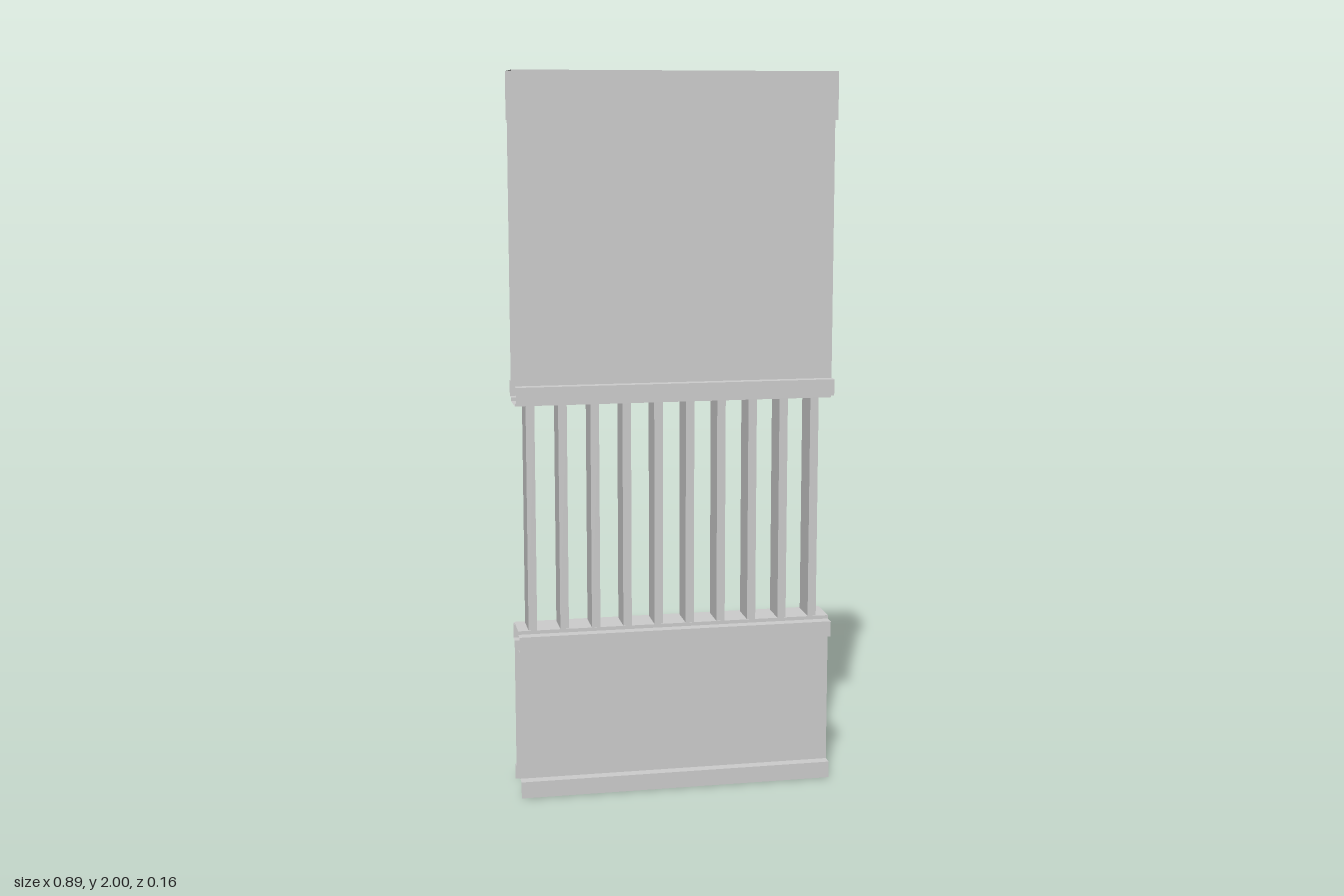
import * as THREE from 'three';

const HALF = 0.444; // half the width of the sheet sections
const sheet = new THREE.MeshStandardMaterial({ color: 0xcccccc, side: THREE.DoubleSide, flatShading: true });
const solid = new THREE.MeshStandardMaterial({ color: 0xcccccc, flatShading: true });

// Folded sheet: a [z, y] profile swept straight along x, open at both ends
function foldedSheet(name, profile) {
  const pos = [];
  for (let i = 0; i < profile.length - 1; i++) {
    const [z0, y0] = profile[i];
    const [z1, y1] = profile[i + 1];
    const a = [-HALF, y0, z0], b = [-HALF, y1, z1], c = [HALF, y1, z1], d = [HALF, y0, z0];
    pos.push(...a, ...b, ...c, ...a, ...c, ...d);
  }
  const geo = new THREE.BufferGeometry();
  geo.setAttribute('position', new THREE.Float32BufferAttribute(pos, 3));
  geo.computeVertexNormals();
  const mesh = new THREE.Mesh(geo, sheet);
  mesh.name = name;
  return mesh;
}

// Completes a front half profile with its mirrored back half
const mirrored = (half) => [...half, ...half.map(([z, y]) => [-z, y]).reverse()];

export function createModel() {
  const model = new THREE.Group();
  model.name = 'louvredPanel';

  const rim = 0.08, panel = 0.05; // half depths of the mouldings and the panels

  // Upper section: closed bottom plate, lower moulding, tall panel, cap
  const upper = mirrored([
    [panel, 1.105], [panel, 1.115], [rim, 1.115], [rim, 1.16],
    [panel, 1.16], [panel, 1.87], [rim, 1.87], [rim, 2.0],
  ]);
  upper.push(upper[0]);
  model.add(foldedSheet('upperPanel', upper));

  // Lower section: open foot, panel, upper moulding, closed top plate
  model.add(foldedSheet('lowerPanel', mirrored([
    [rim, 0], [rim, 0.047], [panel, 0.047], [panel, 0.42],
    [rim, 0.42], [rim, 0.465], [panel, 0.465], [panel, 0.475],
  ])));

  // Row of upright slats between the two sections
  const slats = new THREE.Group();
  slats.name = 'slats';
  const slatGeo = new THREE.BoxGeometry(0.024, 0.63, 0.087);
  for (let i = 0; i < 10; i++) {
    const slat = new THREE.Mesh(slatGeo, solid);
    slat.name = 'slat';
    slat.position.set(-0.403 + i * 0.0888, 0.79, 0.005);
    slats.add(slat);
  }
  model.add(slats);

  return model;
}
